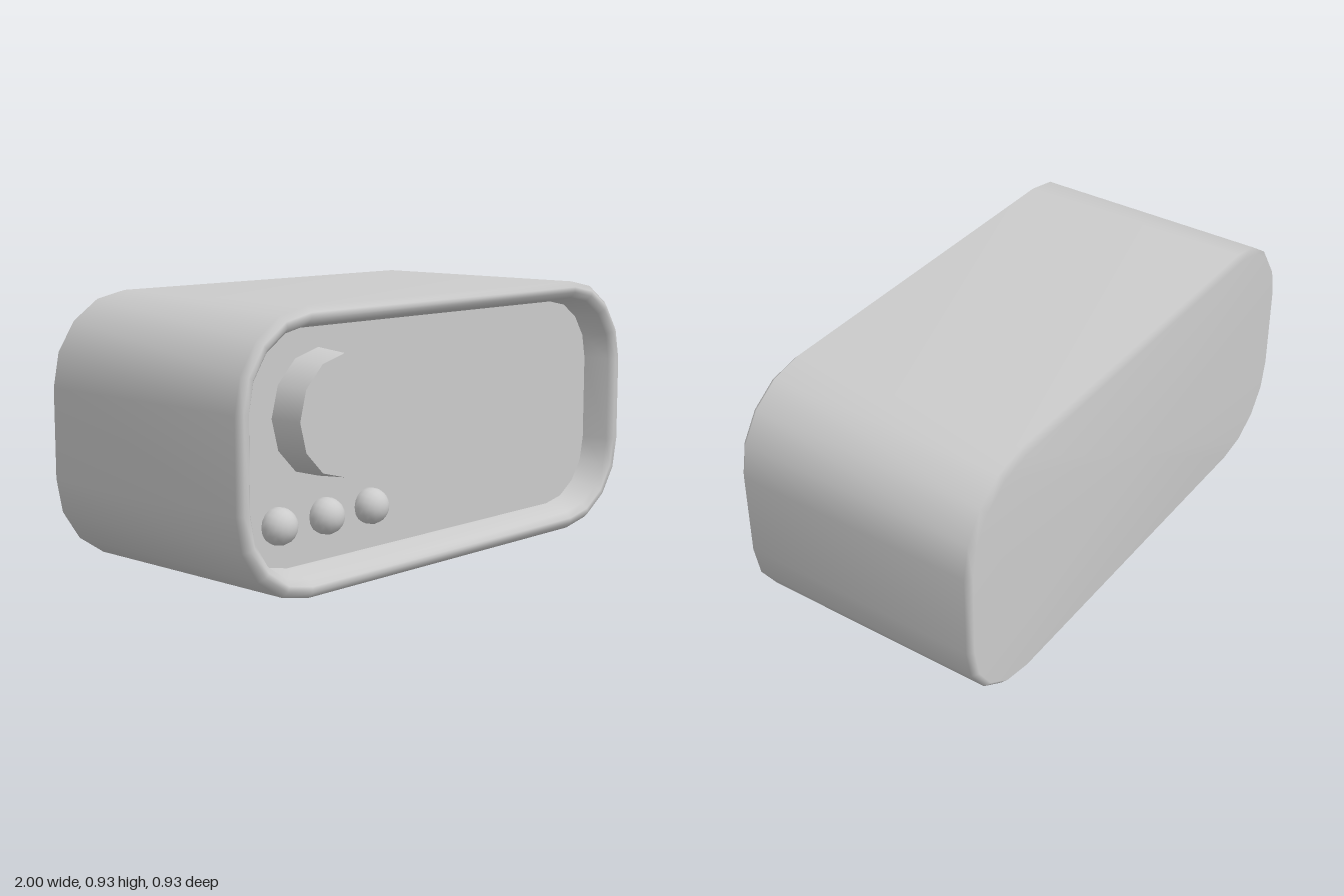
import * as THREE from 'three';

const HALF_W = 1, MID_Y = 0.465, RADIUS = 0.31, STEPS = 4, PANEL_Z = 0.35;

// Rounded rectangle, counter-clockwise, shrunk by an inset
function outline(inset) {
  const cx = HALF_W - RADIUS, cy = MID_Y - RADIUS, r = RADIUS - inset, points = [];
  [[1, 1], [-1, 1], [-1, -1], [1, -1]].forEach(([sx, sy], corner) => {
    for (let i = 0; i <= STEPS; i++) {
      const a = (corner + i / STEPS) * Math.PI / 2;
      points.push(new THREE.Vector2(sx * cx + r * Math.cos(a), MID_Y + sy * cy + r * Math.sin(a)));
    }
  });
  return points;
}

// Skin of [inset, z] loops running from the closed back to the open recess
function shellGeometry(loops) {
  const positions = [], index = [];
  const n = outline(0).length;
  for (const [inset, z] of loops) for (const p of outline(inset)) positions.push(p.x, p.y, z);
  for (let l = 0; l < loops.length - 1; l++) {
    for (let i = 0; i < n; i++) {
      const a = l * n + i, b = l * n + (i + 1) % n;
      index.push(a, b, b + n, a, b + n, a + n);
    }
  }
  // Back cap
  const centre = positions.length / 3;
  positions.push(0, MID_Y, loops[0][1]);
  for (let i = 0; i < n; i++) index.push(centre, (i + 1) % n, i);
  const geometry = new THREE.BufferGeometry();
  geometry.setAttribute('position', new THREE.Float32BufferAttribute(positions, 3));
  geometry.setIndex(index);
  geometry.computeVertexNormals();
  return geometry;
}

export function createModel() {
  const model = new THREE.Group();
  model.name = 'radio';
  const material = new THREE.MeshStandardMaterial({ color: 0xcccccc });
  const add = (name, geometry, x = 0, y = 0, z = 0) => {
    const mesh = new THREE.Mesh(geometry, material);
    mesh.name = name;
    mesh.position.set(x, y, z);
    model.add(mesh);
  };

  // Casing with bevelled edges and a recessed front
  add('casing', shellGeometry([
    [0.02, -0.465], [0, -0.445], [0, 0.445], [0.02, 0.465],
    [0.04, 0.465], [0.06, 0.445], [0.08, PANEL_Z],
  ]));

  // Flat front panel at the bottom of the recess
  add('frontPanel', new THREE.ShapeGeometry(new THREE.Shape(outline(0.08))), 0, 0, PANEL_Z);

  // Large tapered dial
  const depth = 0.467 - PANEL_Z;
  const dial = new THREE.CylinderGeometry(0.2, 0.21, depth, 12).rotateX(Math.PI / 2);
  add('dial', dial, -0.545, 0.572, PANEL_Z + depth / 2);

  // Row of round buttons
  const button = new THREE.SphereGeometry(0.062, 16, 10).rotateX(Math.PI / 2);
  for (let i = 0; i < 3; i++) add('button' + (i + 1), button, -0.745 + i * 0.214, 0.23, PANEL_Z + 0.02);

  return model;
}
